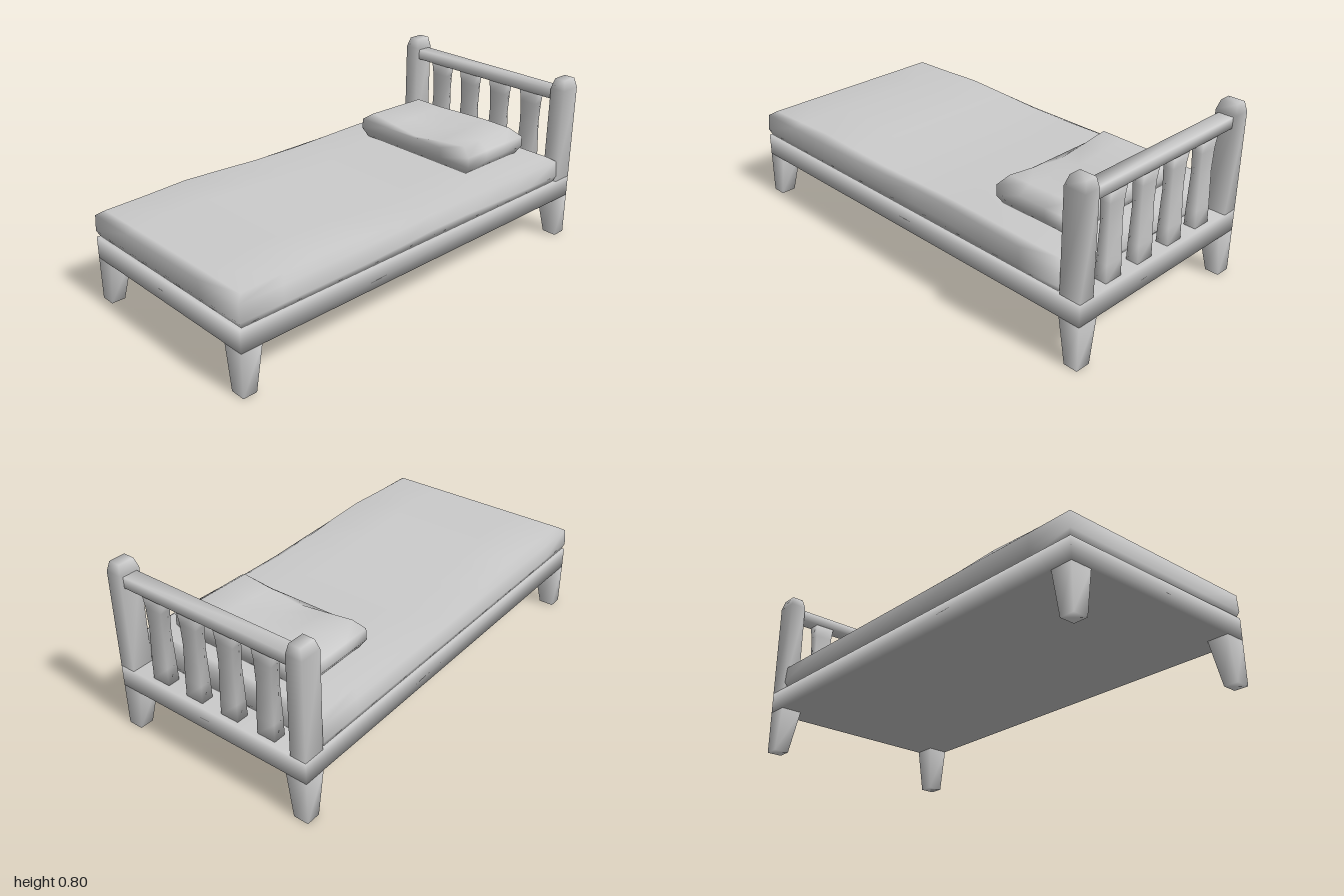
import * as THREE from 'three';
import { mergeVertices } from 'three/addons/utils/BufferGeometryUtils.js';

const material = new THREE.MeshStandardMaterial({ color: 0xcccccc });

// Smooth-shaded block lofted through levels of [y, x0, x1, z0, z1];
// an optional rule then moves each vertex, given its level.
function block(name, levels, segX = 1, segZ = 1, rule = null) {
  const n = levels.length - 1;
  let geo = new THREE.BoxGeometry(1, 1, 1, segX, n, segZ);
  const p = geo.attributes.position;
  const v = new THREE.Vector3();
  for (let i = 0; i < p.count; i++) {
    v.fromBufferAttribute(p, i);
    const level = Math.round((v.y + 0.5) * n);
    const [y, x0, x1, z0, z1] = levels[level];
    v.set(x0 + (v.x + 0.5) * (x1 - x0), y, z0 + (v.z + 0.5) * (z1 - z0));
    if (rule) rule(v, level);
    p.setXYZ(i, v.x, v.y, v.z);
  }
  geo.deleteAttribute('normal');
  geo.deleteAttribute('uv');
  geo = mergeVertices(geo);
  geo.computeVertexNormals();
  const mesh = new THREE.Mesh(geo, material);
  mesh.name = name;
  return mesh;
}

// Level with x mirrored for the right-hand side
const level = (side, y, xa, xb, z0, z1) =>
  side > 0 ? [y, xa, xb, z0, z1] : [y, -xb, -xa, z0, z1];

export function createModel() {
  const bed = new THREE.Group();
  bed.name = 'bed';

  // Base frame
  bed.add(block('frame', [[0.2, -0.5, 0.5, -1, 1], [0.3, -0.5, 0.5, -1, 1]]));

  for (const side of [1, -1]) {
    const label = side > 0 ? 'Left' : 'Right';
    // Legs taper on their inner faces only
    bed.add(block('front' + label + 'Leg', [
      level(side, 0, 0.43, 0.5, 0.935, 1),
      level(side, 0.2, 0.4, 0.5, 0.9, 1)]));
    bed.add(block('back' + label + 'Leg', [
      level(side, 0, 0.43, 0.5, -1, -0.935),
      level(side, 0.2, 0.4, 0.5, -1, -0.9)]));
    // Headboard post with a bevelled top
    bed.add(block('headboard' + label + 'Post', [
      level(side, 0.3, 0.425, 0.5, -1, -0.9),
      level(side, 0.755, 0.425, 0.5, -1, -0.9),
      level(side, 0.8, 0.434, 0.488, -0.99, -0.915)]));
  }

  // Headboard rail
  bed.add(block('headboardRail', [
    [0.697, -0.43, 0.43, -0.985, -0.915],
    [0.746, -0.43, 0.43, -0.985, -0.915]]));

  // Headboard slats, slightly waisted
  for (let i = 0; i < 4; i++) {
    const x = -0.287 + i * 0.19;
    const rows = [[0.3, 0.044, 0.028], [0.38, 0.044, 0.026], [0.54, 0.039, 0.022],
      [0.64, 0.043, 0.024], [0.7, 0.048, 0.03]];
    bed.add(block('headboardSlat', rows.map(([y, w, d]) =>
      [y, x - w, x + w, -0.95 - d, -0.95 + d])));
  }

  // Mattress with a gently uneven top and left edge
  const mattress = [
    [0.3, -0.49, 0.49, -0.885, 0.985],
    [0.33, -0.5, 0.5, -0.9, 1],
    [0.405, -0.495, 0.495, -0.895, 0.998],
    [0.427, -0.465, 0.465, -0.865, 0.965]];
  bed.add(block('mattress', mattress, 4, 9, (v, row) => {
    if (row === 3) {
      v.y += 0.014 * Math.exp(-(((v.z - 0.55) / 0.22) ** 2))
        - 0.01 * Math.exp(-(((v.z + 0.05) / 0.3) ** 2));
    }
    if (row > 0 && v.x > 0.4) v.x -= 0.022 * Math.exp(-(((v.z + 0.15) / 0.35) ** 2));
  }));

  // Pillow, sagging along the middle of its front edge
  bed.add(block('pillow', [
    [0.42, -0.31, 0.32, -0.79, -0.44],
    [0.465, -0.34, 0.35, -0.81, -0.422],
    [0.515, -0.335, 0.35, -0.808, -0.42],
    [0.55, -0.285, 0.3, -0.77, -0.445]], 4, 3, (v, row) => {
    if (row < 3) return;
    const front = (v.z + 0.77) / 0.325;
    v.y -= 0.038 * front * Math.max(0, 1 - Math.abs(v.x) / 0.28);
    v.y += 0.007 * (1 - front) * Math.sin(v.x * 8);
  }));

  return bed;
}
